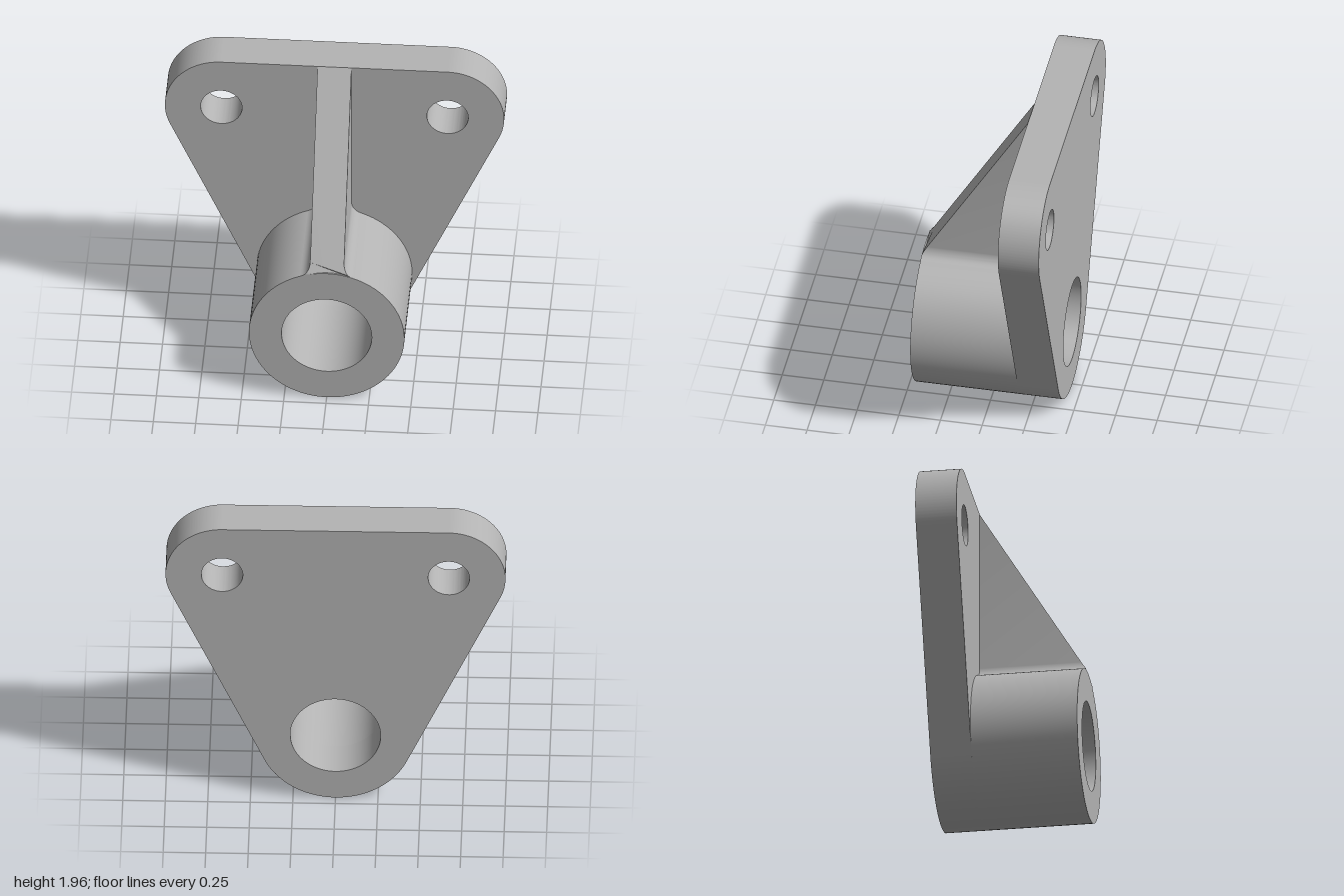
import * as THREE from 'three';
import { toCreasedNormals } from 'three/addons/utils/BufferGeometryUtils.js';

const BACK = -0.44, PLATE_FRONT = -0.195, FRONT = 0.44;
const BOSS = { y: 0.46, r: 0.458, bore: 0.266 };
const LUG = { x: 0.667, y: 1.63, r: 0.333, hole: 0.122 };
const RIB = { half: 0.1, fillet: 0.083, frontY: 0.91, top: 1.96 };

function circle(x, y, r) {
  return new THREE.Path().absarc(x, y, r, 0, Math.PI * 2, true);
}

function extrude(shape, z0, z1) {
  const geo = new THREE.ExtrudeGeometry(shape, { depth: z1 - z0, bevelEnabled: false, curveSegments: 48 });
  return geo.translate(0, 0, z0);
}

// Rounded triangle: arcs joined by their common tangents
function plateGeometry() {
  const dx = LUG.x, dy = LUG.y - BOSS.y;
  const a = Math.atan2(dy, dx) - Math.acos((BOSS.r - LUG.r) / Math.hypot(dx, dy));
  const shape = new THREE.Shape();
  shape.absarc(0, BOSS.y, BOSS.r, Math.PI - a, Math.PI * 2 + a, false);
  shape.absarc(LUG.x, LUG.y, LUG.r, a, Math.PI / 2, false);
  shape.absarc(-LUG.x, LUG.y, LUG.r, Math.PI / 2, Math.PI - a, false);
  shape.closePath();
  shape.holes.push(circle(0, BOSS.y, BOSS.bore));
  for (const s of [-1, 1]) shape.holes.push(circle(s * LUG.x, LUG.y, LUG.hole));
  return extrude(shape, BACK, PLATE_FRONT);
}

function bossGeometry() {
  const shape = new THREE.Shape().absarc(0, BOSS.y, BOSS.r, 0, Math.PI * 2, false);
  shape.holes.push(circle(0, BOSS.y, BOSS.bore));
  return extrude(shape, PLATE_FRONT, FRONT);
}

// Upright web with filleted foot; its front end is cut by a sloping plane
function ribGeometry() {
  const { half, fillet, frontY, top } = RIB;
  const cx = half + fillet;
  const cy = BOSS.y + Math.sqrt((BOSS.r + fillet) ** 2 - cx ** 2);
  const foot = Math.atan2(BOSS.y - cy, -cx) + Math.PI * 2;
  const side = [];
  for (let i = 0; i <= 12; i++) {
    const t = foot + (Math.PI - foot) * i / 12;
    side.push(new THREE.Vector2(cx + fillet * Math.cos(t), cy + fillet * Math.sin(t)));
  }
  side.push(new THREE.Vector2(half, top));
  const mirrored = side.map(p => new THREE.Vector2(-p.x, p.y)).reverse();
  const geo = extrude(new THREE.Shape([...side, ...mirrored]), PLATE_FRONT - 0.005, FRONT);
  const pos = geo.attributes.position;
  for (let i = 0; i < pos.count; i++) {
    if (pos.getZ(i) < 0) continue;
    const k = (pos.getY(i) - frontY) / (top - frontY);
    pos.setZ(i, Math.min(FRONT, FRONT + (PLATE_FRONT - FRONT) * k));
  }
  return geo;
}

export function createModel() {
  const group = new THREE.Group();
  group.name = 'mountingBracket';
  const metal = new THREE.MeshStandardMaterial({ color: 0xb4b4b4 });
  metal.name = 'plain grey';
  const parts = { backPlate: plateGeometry(), bearingBoss: bossGeometry(), supportRib: ribGeometry() };
  for (const [name, geo] of Object.entries(parts)) {
    const mesh = new THREE.Mesh(toCreasedNormals(geo, Math.PI / 7), metal);
    mesh.name = name;
    group.add(mesh);
  }
  return group;
}
